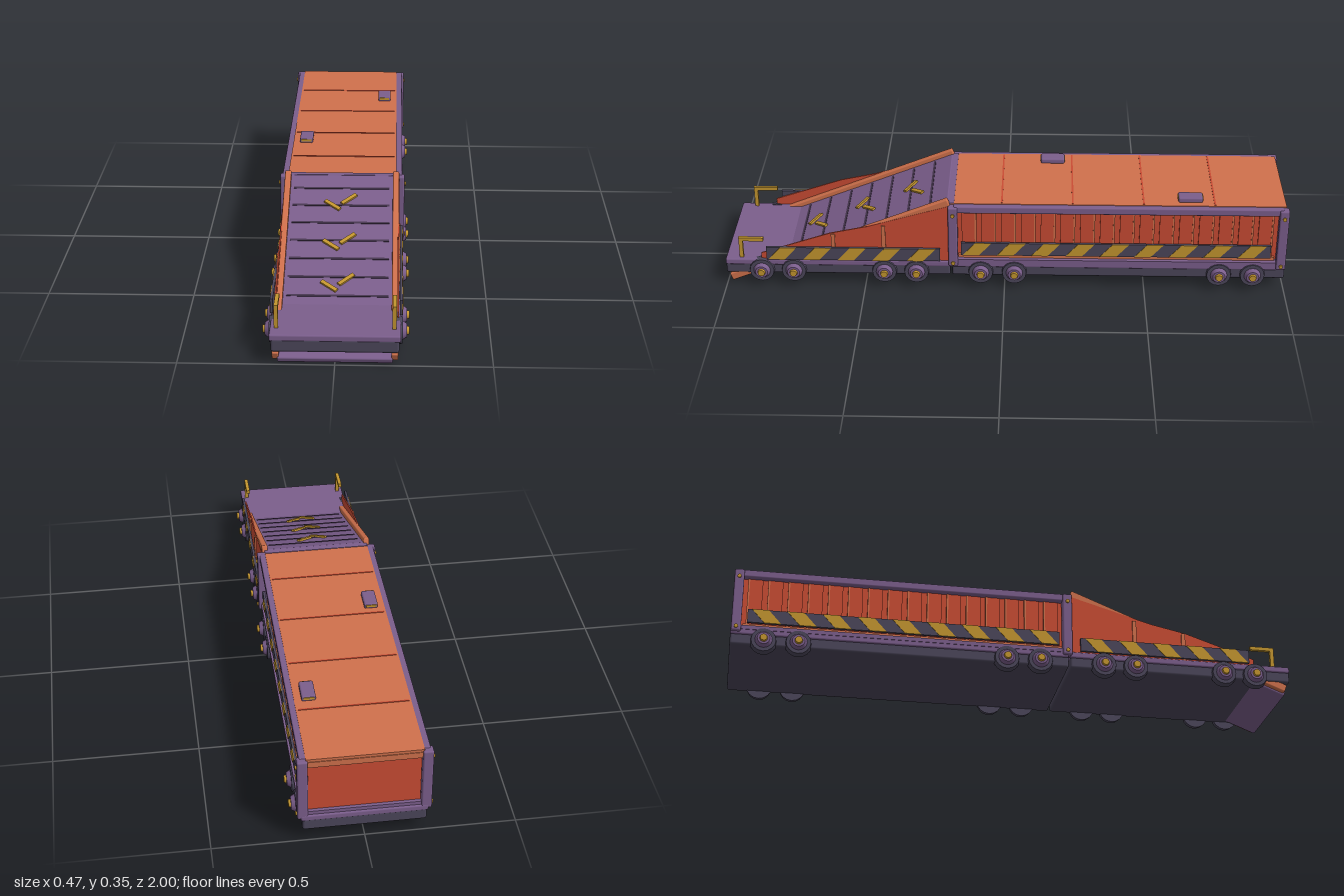
import * as THREE from 'three';
import { RoundedBoxGeometry } from 'three/addons/geometries/RoundedBoxGeometry.js';

const mat = (name, color) => {
  const m = new THREE.MeshStandardMaterial({ color });
  m.name = name;
  return m;
};

export function createModel() {
  const model = new THREE.Group();
  model.name = 'rampTrailer';
  const purple = mat('purple', 0x7b5e8c);
  const dark = mat('darkSlate', 0x4b465a);
  const red = mat('red', 0xca4c34);
  const orange = mat('orange', 0xd0714c);
  const gold = mat('gold', 0xc4962f);
  const groove = mat('groovePurple', 0x46364f);

  const add = (name, geo, material, x, y, z, parent = model) => {
    const mesh = new THREE.Mesh(geo, material);
    mesh.name = name;
    mesh.position.set(x, y, z);
    parent.add(mesh);
    return mesh;
  };
  // Box given by its extents, optionally with softened edges
  const box = (name, material, [x0, x1], [y0, y1], [z0, z1], r = 0, parent = model) => {
    const s = [x1 - x0, y1 - y0, z1 - z0];
    const geo = r ? new RoundedBoxGeometry(...s, 2, r) : new THREE.BoxGeometry(...s);
    return add(name, geo, material, (x0 + x1) / 2, (y0 + y1) / 2, (z0 + z1) / 2, parent);
  };
  // The same box on the given side of the model
  const sideBox = (name, material, side, [x0, x1], y, z, r = 0, parent = model) =>
    box(name, material, side > 0 ? [x0, x1] : [-x1, -x0], y, z, r, parent);
  // Upright plate drawn as [z, y] points, standing out from x0 on one side
  const sidePlate = (name, material, side, points, x0, depth) => {
    const shape = new THREE.Shape(points.map(([z, y]) => new THREE.Vector2(-z, y)));
    const geo = new THREE.ExtrudeGeometry(shape, { depth, bevelEnabled: false });
    geo.rotateY(Math.PI / 2);
    return add(name, geo, material, side > 0 ? x0 : -x0 - depth, 0, 0);
  };

  // Flat decks of both wagons
  for (const [z0, z1] of [[-1, 0.188], [0.194, 1]]) {
    box('deckFrame', dark, [-0.203, 0.203], [0.045, 0.09], [z0, z1], 0.008);
    box('deckPlate', purple, [-0.208, 0.208], [0.082, 0.105], [z0, z1], 0.006);
  }

  // Container body, roof, seams and rear panel frame
  box('containerBody', red, [-0.183, 0.183], [0.1, 0.322], [-0.982, 0.185]);
  box('roof', orange, [-0.19, 0.19], [0.318, 0.332], [-0.99, 0.19]);
  for (const z of [-0.74, -0.49, -0.24, 0.01])
    box('roofSeam', red, [-0.183, 0.183], [0.33, 0.334], [z - 0.003, z + 0.003]);
  box('rearLintel', orange, [-0.19, 0.19], [0.3, 0.322], [-0.992, -0.98]);
  box('rearSill', purple, [-0.19, 0.19], [0.1, 0.118], [-0.994, -0.98]);
  box('frontCrossbeam', purple, [-0.19, 0.19], [0.305, 0.334], [0.178, 0.2]);

  // Roof vents with gold end plates
  for (const [x, z] of [[0.142, -0.655], [-0.142, -0.17]]) {
    box('roofVent', purple, [x - 0.024, x + 0.024], [0.33, 0.35], [z - 0.043, z + 0.043], 0.006);
    for (const end of [-1, 1])
      box('ventPlate', gold, [x - 0.018, x + 0.018], [0.338, 0.346],
        [z + end * 0.043 - 0.002, z + end * 0.043 + 0.002]);
  }

  // Hazard board with leaning gold stripes
  const hazardBoard = (side, zFront, zBack, y0, y1, x0, count) => {
    const pitch = (zFront - zBack) / count;
    const lean = 0.045, width = 0.058;
    sideBox('hazardBoard', dark, side, [x0, x0 + 0.009], [y0, y1], [zBack, zFront]);
    for (let i = 0; i < count; i++) {
      const z = zFront - 0.005 - i * pitch;
      sidePlate('hazardStripe', gold, side,
        [[z, y0], [z - width, y0], [z - width - lean, y1], [z - lean, y1]], x0 + 0.008, 0.003);
    }
  };

  for (const side of [1, -1]) {
    // Container frame
    for (const z of [0.183, -0.982]) {
      sideBox('cornerPost', purple, side, [0.184, 0.219], [0.09, 0.328], [z - 0.017, z + 0.017], 0.006);
      for (const y of [0.105, 0.298]) {
        const rivet = add('postRivet', new THREE.CylinderGeometry(0.007, 0.007, 0.006, 10), gold,
          side * 0.221, y, z);
        rivet.rotation.z = Math.PI / 2;
      }
    }
    sideBox('topRail', purple, side, [0.184, 0.211], [0.303, 0.33], [-0.98, 0.18], 0.005);
    sideBox('bottomRail', purple, side, [0.184, 0.21], [0.1, 0.115], [-0.98, 0.18]);
    sideBox('lowerBeam', orange, side, [0.184, 0.195], [0.115, 0.128], [-0.96, 0.165]);
    // Corrugated wall
    for (let i = 0; i < 16; i++) {
      const z = 0.128 - i * 0.07;
      sidePlateRib(side, z);
    }
    hazardBoard(side, 0.155, -0.945, 0.13, 0.18, 0.196, 9);
    hazardBoard(side, 0.85, 0.23, 0.108, 0.158, 0.204, 5);

    // Ramp side wall with stiffeners
    sidePlate('rampWall', red, side,
      [[0.2, 0.325], [0.49, 0.24], [0.62, 0.212], [0.87, 0.128], [0.87, 0.1], [0.2, 0.1]], 0.196, 0.005);
    for (const [z, top] of [[0.43, 0.245], [0.61, 0.21]])
      sideBox('wallStiffener', orange, side, [0.2, 0.206], [0.1, top], [z - 0.007, z + 0.007]);

    // Bent grab handle
    sideBox('handlePost', gold, side, [0.181, 0.194], [0.1, 0.184], [0.936, 0.95]);
    sideBox('handleGrip', gold, side, [0.181, 0.194], [0.171, 0.184], [0.862, 0.94]);

    // Wheels: tyre, hub and gold axle cap
    for (const z of [0.87, 0.755, 0.43, 0.315, 0.085, -0.035, -0.765, -0.885]) {
      const wheel = new THREE.Group();
      wheel.name = 'wheel';
      wheel.position.set(side * 0.19, 0.063, z);
      wheel.rotation.z = -side * Math.PI / 2;
      for (const [name, m, rTop, rBottom, y0, y1] of [
        ['tyre', dark, 0.043, 0.047, 0, 0.024],
        ['hub', purple, 0.022, 0.03, 0.024, 0.038],
        ['axleCap', gold, 0.012, 0.014, 0.038, 0.046]])
        add(name, new THREE.CylinderGeometry(rTop, rBottom, y1 - y0, 16), m, 0, (y0 + y1) / 2, 0, wheel);
      model.add(wheel);
    }
  }

  // Tapered vertical wall rib
  function sidePlateRib(side, z) {
    sideBox('wallRib', red, side, [0.18, 0.19], [0.128, 0.303], [z - 0.024, z + 0.024]);
    sideBox('ribEdge', orange, side, [0.18, 0.193], [0.128, 0.303], [z - 0.028, z - 0.022]);
  }

  // Sloping ramp, built level and then tilted
  const ramp = new THREE.Group();
  ramp.name = 'ramp';
  ramp.position.set(0, 0.335, 0.2);
  ramp.rotation.x = Math.atan(0.4);
  model.add(ramp);
  box('rampPlate', purple, [-0.183, 0.183], [-0.02, 0], [0, 0.85], 0.005, ramp);
  for (const side of [1, -1])
    sideBox('rampRail', orange, side, [0.178, 0.2], [-0.012, 0.017], [-0.004, 0.845], 0.005, ramp);
  for (let i = 0; i < 7; i++) {
    const z = 0.07 + i * 0.085;
    box('rampGroove', groove, [-0.167, 0.167], [-0.001, 0.002], [z - 0.004, z + 0.004], 0, ramp);
  }
  // Gold chevrons pointing down the ramp
  for (const z of [0.143, 0.335, 0.525])
    for (const [x, dz, turn] of [[-0.029, 0.014, -0.68], [0.027, -0.016, 0.75]]) {
      const bar = add('chevronBar', new THREE.BoxGeometry(0.066, 0.008, 0.014), gold, x, 0.003, z + dz, ramp);
      bar.rotation.y = turn;
    }

  return model;
}
